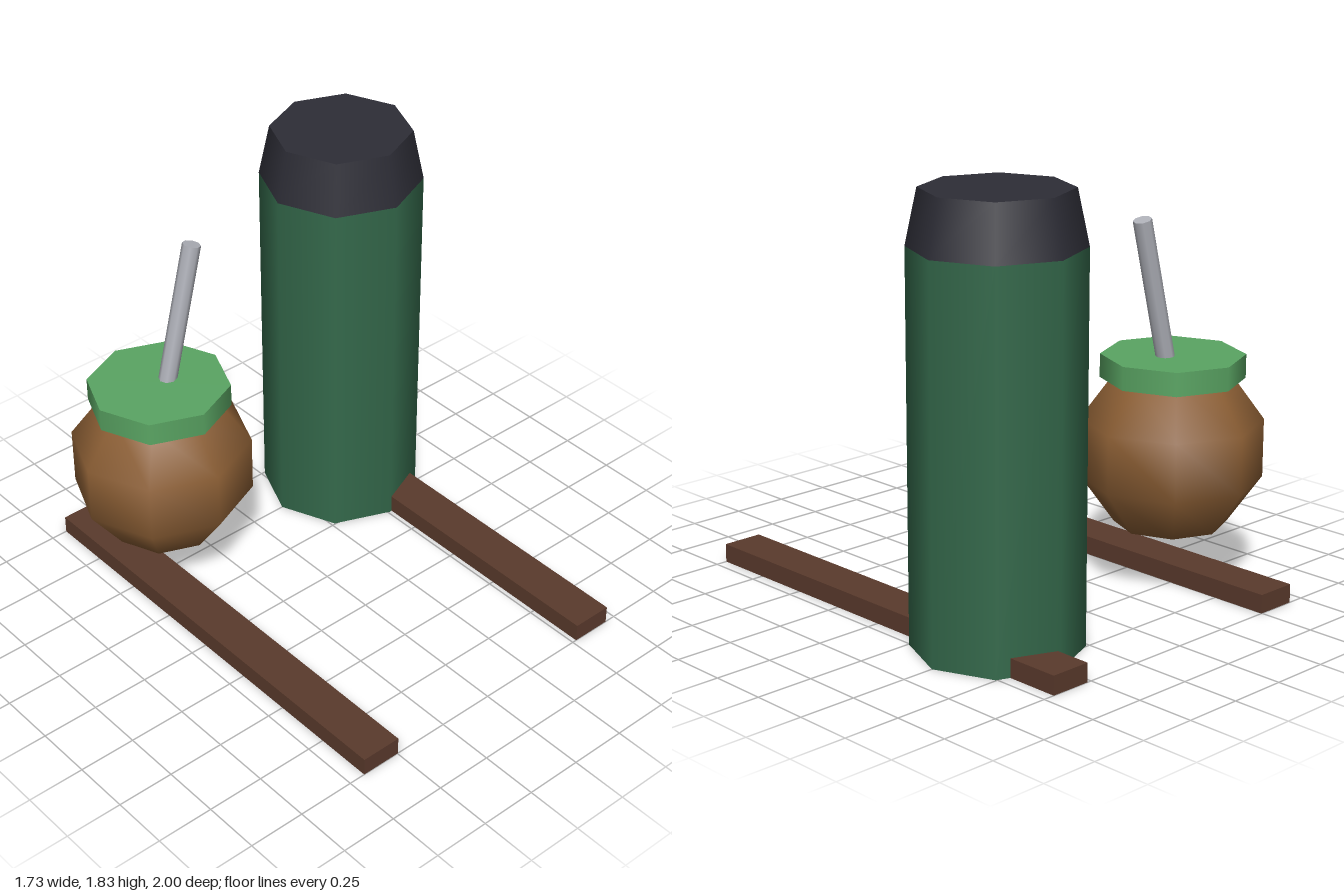
import * as THREE from 'three';

const SIDES = 8;

function material(name, color) {
  const m = new THREE.MeshStandardMaterial({ color });
  m.name = name;
  return m;
}

function addPart(parent, name, geometry, mat, x, y, z) {
  const mesh = new THREE.Mesh(geometry, mat);
  mesh.name = name;
  mesh.position.set(x, y, z);
  parent.add(mesh);
  return mesh;
}

function addGroup(parent, name, x, z) {
  const g = new THREE.Group();
  g.name = name;
  g.position.set(x, 0, z);
  parent.add(g);
  return g;
}

export function createModel() {
  const model = new THREE.Group();
  model.name = 'gourdCupAndFlask';

  const wood = material('dark wood', 0x5a3a2c);
  const gourdBrown = material('gourd brown', 0x8b5e34);
  const leafGreen = material('leaf green', 0x5aa563);
  const flaskGreen = material('flask green', 0x34694b);
  const capBlack = material('cap charcoal', 0x2d2d36);
  const metal = material('straw metal', 0xb0b2ba);

  // Two long ground slats
  for (const [name, x] of [['rightSlat', -0.587], ['leftSlat', 0.61]]) {
    addPart(model, name, new THREE.BoxGeometry(0.18, 0.08, 2), wood, x, 0.04, 0);
  }

  // Gourd cup with its lid and slanted straw
  const cup = addGroup(model, 'gourdCup', -0.487, -0.5);
  addPart(cup, 'gourd', new THREE.SphereGeometry(0.4, SIDES, 5), gourdBrown, 0, 0.6, 0);
  addPart(cup, 'lid', new THREE.CylinderGeometry(0.3, 0.3, 0.1, SIDES), leafGreen, 0, 0.95, 0);
  const straw = addPart(cup, 'straw',
    new THREE.CylinderGeometry(0.039, 0.039, 0.8, SIDES), metal, 0.1, 1.2, 0);
  straw.rotation.z = -0.25;

  // Flask with a tapered cap
  const flask = addGroup(model, 'flask', 0.511, -0.5);
  addPart(flask, 'flaskBody', new THREE.CylinderGeometry(0.347, 0.347, 1.6, SIDES), flaskGreen, 0, 0.8, 0);
  addPart(flask, 'flaskCap', new THREE.CylinderGeometry(0.3, 0.347, 0.225, SIDES), capBlack, 0, 1.7125, 0);

  return model;
}
